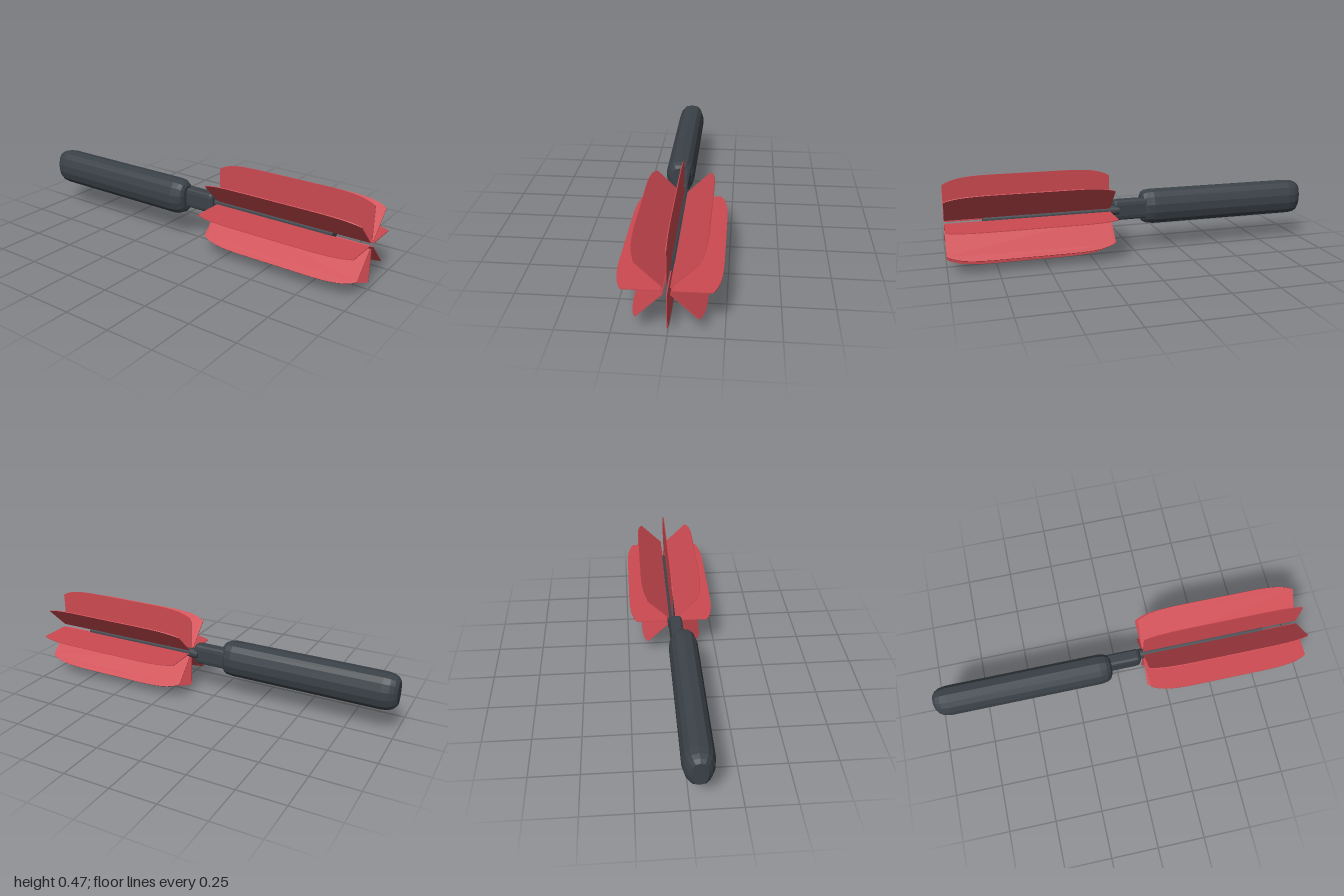
import * as THREE from 'three';

const AXIS_Y = 0.235;

// Faceted body along x: stations are [x, half height, half depth]
function loft(stations, section, cz) {
  const pos = [], idx = [], n = section.length;
  for (const [x, hy, hz] of stations)
    for (const [sz, sy] of section) pos.push(x, AXIS_Y + sy * hy, cz + sz * hz);
  for (let i = 0; i < stations.length - 1; i++)
    for (let j = 0; j < n; j++) {
      const a = i * n + j, b = i * n + (j + 1) % n;
      idx.push(a, b, a + n, b, b + n, a + n);
    }
  // End caps
  const last = (stations.length - 1) * n;
  for (let j = 1; j < n - 1; j++) {
    idx.push(0, j + 1, j);
    idx.push(last, last + j, last + j + 1);
  }
  const g = new THREE.BufferGeometry();
  g.setAttribute('position', new THREE.Float32BufferAttribute(pos, 3));
  g.setIndex(idx);
  const flat = g.toNonIndexed();
  flat.computeVertexNormals();
  return flat;
}

// Mirror one quarter outline (top to side) into a closed section
function mirrorSection(quarter) {
  const half = [...quarter, ...quarter.slice().reverse().map(([z, y]) => [z, -y])];
  const other = half.slice().reverse().map(([z, y]) => [-z, y]);
  return [...half, ...other].filter(([z, y], i, all) =>
    all.findIndex(p => Math.abs(p[0] - z) + Math.abs(p[1] - y) < 1e-6) === i);
}

export function createModel() {
  const model = new THREE.Group();
  const dark = new THREE.MeshStandardMaterial({ color: 0x3b4248 });
  dark.name = 'dark grey';
  const red = new THREE.MeshStandardMaterial({ color: 0xcd4a51 });
  red.name = 'red';

  const add = (name, geometry, material, parent = model) => {
    const mesh = new THREE.Mesh(geometry, material);
    mesh.name = name;
    parent.add(mesh);
    return mesh;
  };

  // Handle grip with rounded ends
  const grip = mirrorSection([[0, 1], [0.54, 0.92], [0.83, 0.66], [1, 0.23]]);
  add('handle', loft([
    [-1, 0.066, 0.038], [-0.985, 0.082, 0.056], [-0.962, 0.091, 0.069], [-0.925, 0.095, 0.076],
    [-0.11, 0.095, 0.076], [-0.075, 0.092, 0.069], [-0.055, 0.082, 0.055], [-0.045, 0.066, 0.036],
  ], grip, 0.041), dark);

  // Neck between handle and rod
  const collar = mirrorSection([[0.6, 1], [0.9, 0.85], [1, 0.55]]);
  add('neck', loft([
    [-0.07, 0.054, 0.035], [0.1, 0.054, 0.035], [0.112, 0.049, 0.031], [0.12, 0.036, 0.022],
  ], collar, 0.016), dark);

  // Central rod
  const rod = add('rod', new THREE.CylinderGeometry(0.027, 0.027, 0.72, 20), dark);
  rod.rotation.z = -Math.PI / 2;
  rod.position.set(0.45, AXIS_Y, 0);

  // Eight thin blades around the rod, with softened outer corners
  const s = new THREE.Shape();
  s.moveTo(0.14, 0.024);
  s.lineTo(1, 0.024);
  s.lineTo(1, 0.195);
  s.bezierCurveTo(0.95, 0.228, 0.87, 0.235, 0.75, 0.235);
  s.lineTo(0.39, 0.235);
  s.bezierCurveTo(0.27, 0.235, 0.19, 0.228, 0.14, 0.195);
  s.closePath();
  const bladeGeo = new THREE.ExtrudeGeometry(s, { depth: 0.004, bevelEnabled: false, curveSegments: 8 });
  bladeGeo.translate(0, 0, -0.002);
  const blades = new THREE.Group();
  blades.name = 'blades';
  blades.position.y = AXIS_Y;
  for (let i = 0; i < 8; i++) add('blade', bladeGeo, red, blades).rotation.x = i * Math.PI / 4;
  model.add(blades);

  return model;
}
